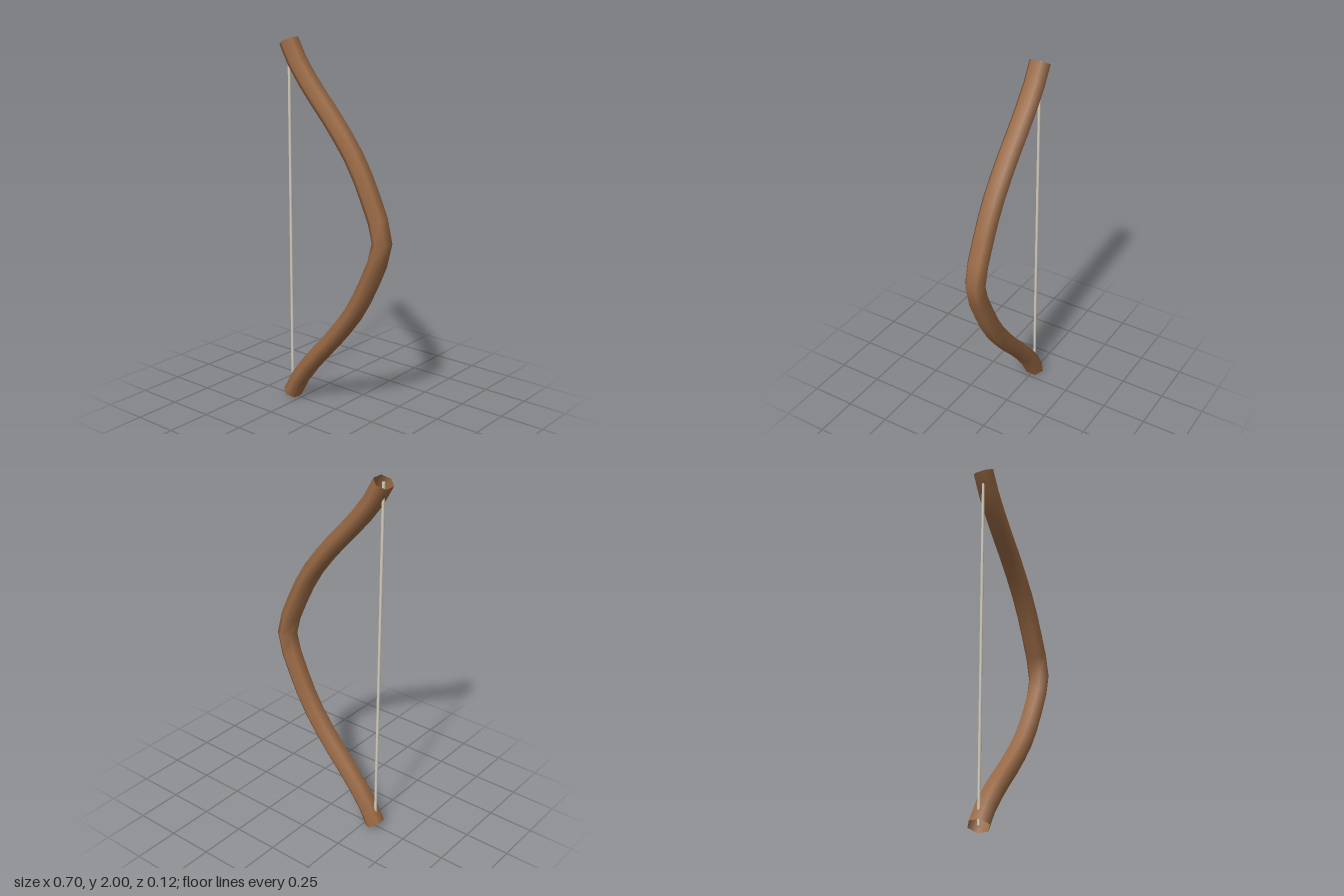
import * as THREE from 'three';

export function createModel() {
  const group = new THREE.Group();
  group.name = 'bow';

  const wood = new THREE.MeshStandardMaterial({ name: 'wood', color: 0x9a6a45, side: THREE.DoubleSide });
  const cord = new THREE.MeshStandardMaterial({ name: 'cord', color: 0xd6d0c0 });

  // Limb centre line: upper half from tip to grip, mirrored about y = 1
  const upper = [[-0.312, 1.98], [-0.26, 1.885], [-0.165, 1.76], [0, 1.575], [0.13, 1.405], [0.237, 1.2]];
  const lower = upper.map(([x, y]) => [x, 2 - y]).reverse();
  const points = [...upper, [0.304, 1], ...lower].map(([x, y]) => new THREE.Vector3(x, y, 0));

  // Open six-sided tube, a little wider from front to back
  const limbGeometry = new THREE.TubeGeometry(new THREE.CatmullRomCurve3(points), 20, 0.05, 6, false);
  limbGeometry.scale(1, 1, 1.2);
  const limb = new THREE.Mesh(limbGeometry, wood);
  limb.name = 'limb';
  group.add(limb);

  // String between the tips
  const string = new THREE.Mesh(new THREE.CylinderGeometry(0.008, 0.008, 1.96, 8), cord);
  string.name = 'string';
  string.position.set(-0.312, 1, 0);
  group.add(string);

  return group;
}
